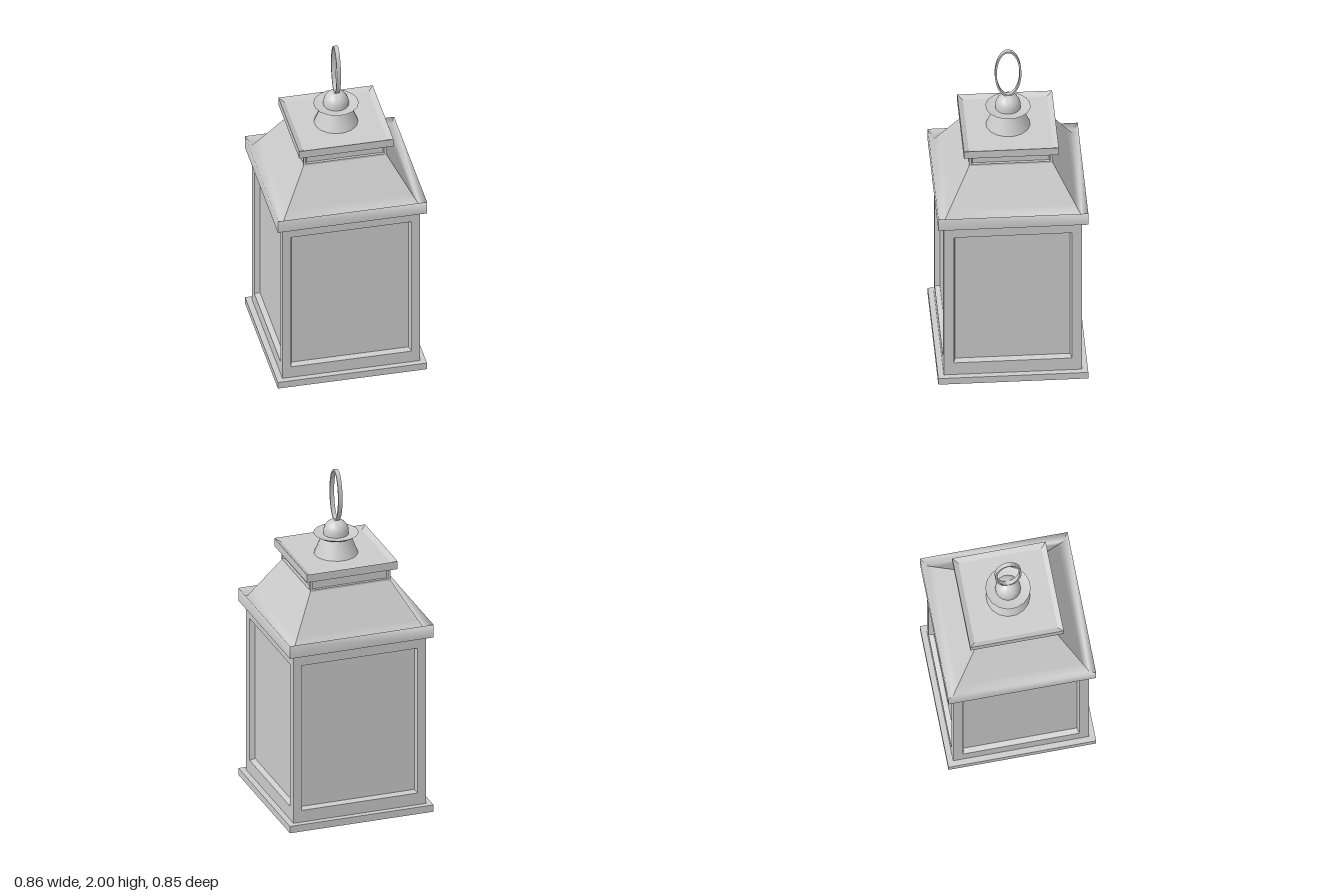
import * as THREE from 'three';
import { toCreasedNormals } from 'three/addons/utils/BufferGeometryUtils.js';

const DEPTH = 0.984; // z extent relative to x

export function createModel() {
  const model = new THREE.Group();
  const mat = new THREE.MeshStandardMaterial({ color: 0xcccccc });
  const add = (name, geo, parent = model) => {
    const mesh = new THREE.Mesh(geo, mat);
    mesh.name = name;
    parent.add(mesh);
    return mesh;
  };
  const group = (name) => {
    const g = new THREE.Group();
    g.name = name;
    model.add(g);
    return g;
  };
  const points = (list) => list.map(([r, y]) => new THREE.Vector2(r, y));
  const corners = (list) => points(list.map(([r, y]) => [r * Math.SQRT2, y]));

  // Square loft: [half width, y] pairs, listed upward on the outside
  const square = (profile, depth = DEPTH) => {
    const geo = new THREE.LatheGeometry(corners(profile), 4).rotateY(Math.PI / 4);
    return toCreasedNormals(geo.scale(1, 1, depth), 0.4);
  };
  const round = (profile) =>
    toCreasedNormals(new THREE.LatheGeometry(points(profile), 16).rotateY(Math.PI / 16), 0.6);
  // Turn a front-facing part to one of the four sides
  const toSide = (geo, i) => geo.rotateY(i * Math.PI / 2).scale(1, 1, DEPTH);

  // Recessed core with four frames, each opening lined by a splayed bevel
  const panelledBox = (name, half, y0, y1, openHalf, open0, open1, recess, sideInset) => {
    const parent = group(name);
    const inner = half - recess;
    add(name + 'Pane', square([[inner, y0], [inner, y1]]), parent);
    for (let i = 0; i < 4; i++) {
      const inset = (i % 2) * sideInset;
      const w = openHalf - inset, b = open0 + inset, t = open1 - inset;
      const shape = new THREE.Shape(points([[-half, y0], [half, y0], [half, y1], [-half, y1]]));
      shape.holes.push(new THREE.Path(points([[-w, b], [-w, t], [w, t], [w, b]])));
      const frame = new THREE.ExtrudeGeometry(shape, { depth: recess, bevelEnabled: false });
      add(name + 'Frame', toSide(frame.translate(0, 0, inner), i), parent);
      const bevel = square([[1, recess], [0.975, 0]], 1).scale(w, 1, (t - b) / 2);
      bevel.rotateX(Math.PI / 2).translate(0, (b + t) / 2, inner);
      add(name + 'Bevel', toSide(bevel, i), parent);
    }
  };

  // Base plate and body
  add('basePlate', square([[0, 0], [0.43, 0], [0.43, 0.042], [0, 0.042]]));
  panelledBox('body', 0.396, 0.042, 1.08, 0.347, 0.114, 1.008, 0.03, 0.009);

  // Four roof sides: eave band, gutter and slope shaded as one smooth sheet
  const roof = group('roof');
  const slope = corners([[0.43, 1.077], [0.43, 1.155], [0.395, 1.113], [0.36, 1.172], [0.24, 1.38]]);
  for (let i = 0; i < 4; i++) {
    const side = new THREE.LatheGeometry(slope, 1, -Math.PI / 4, Math.PI / 2);
    side.computeVertexNormals();
    add('roofSide', toSide(side, i), roof);
  }
  add('soffit', square([[0.38, 1.077], [0.43, 1.077]]), roof);

  // Neck and shallow tray-shaped cap
  panelledBox('neck', 0.24, 1.38, 1.46, 0.226, 1.391, 1.453, 0.015, 0);
  add('cap', square([[0.2, 1.457], [0.272, 1.457], [0.272, 1.505], [0.242, 1.489], [0, 1.489]]));

  // Chimney cone, flange and knob
  add('chimney', round([[0.125, 1.489], [0.08, 1.6], [0, 1.6]]));
  add('flange', round([[0.07, 1.597], [0.108, 1.6], [0.128, 1.614], [0.1, 1.608], [0, 1.606]]));
  const knob = [[0.072, 1.6]];
  for (let i = 0; i <= 8; i++) {
    const a = i / 8 * Math.PI / 2;
    knob.push([0.072 * Math.cos(a), 1.623 + 0.072 * Math.sin(a)]);
  }
  add('knob', round(knob));

  // Oval hanging ring
  const oval = new THREE.Shape().absellipse(0, 0, 0.075, 0.156, 0, Math.PI * 2);
  oval.holes.push(new THREE.Path().absellipse(0, 0, 0.064, 0.146, 0, Math.PI * 2));
  const ring = new THREE.ExtrudeGeometry(oval, { depth: 0.024, bevelEnabled: false, curveSegments: 32 });
  ring.translate(0, 0, -0.012).rotateY(Math.PI / 2);
  add('hangingRing', toCreasedNormals(ring, 0.6)).position.y = 1.844;

  return model;
}
